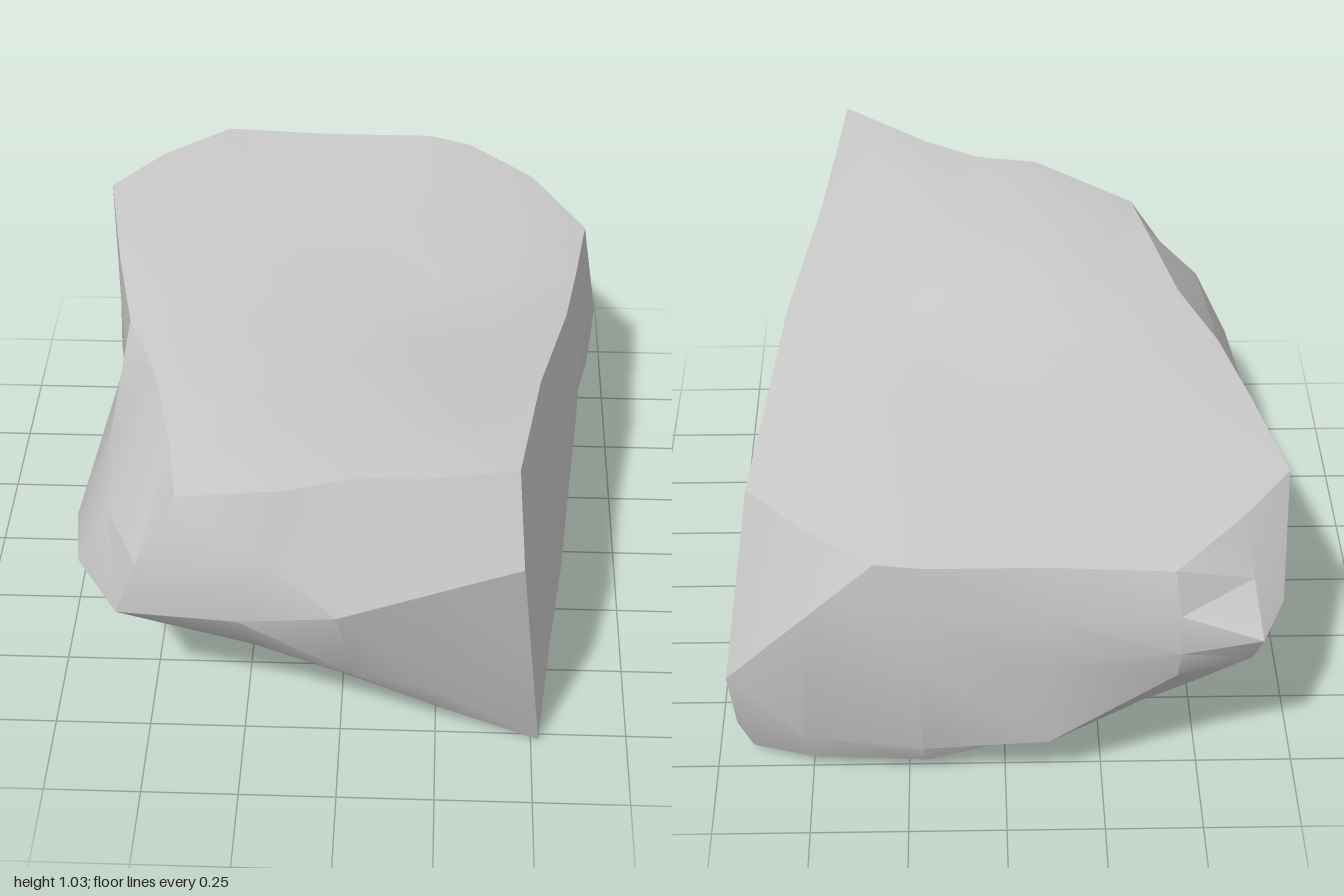
import * as THREE from 'three';
import { toCreasedNormals } from 'three/addons/utils/BufferGeometryUtils.js';

// Three rings of [x, y, z], each running front corner -> +x side -> back -> -x side -> front
const rim = [
  [0.43, 1.03, 0.95], [0.49, 0.96, 0.5], [0.57, 0.88, 0.09], [0.61, 0.81, -0.22], [0.65, 0.75, -0.55],
  [0.5, 0.79, -0.76], [0.32, 0.8, -0.92], [0.2, 0.81, -0.95], [-0.1, 0.81, -0.95], [-0.4, 0.81, -0.97],
  [-0.58, 0.83, -0.78], [-0.71, 0.83, -0.6], [-0.65, 0.81, -0.25], [-0.59, 0.8, 0.04], [-0.5, 0.81, 0.28],
  [-0.43, 0.82, 0.6], [-0.4, 0.8, 0.79], [-0.12, 0.89, 0.87], [0.05, 0.92, 0.85], [0.2, 0.95, 0.89],
];
const belly = [
  [0.45, 0.77, 1.0], [0.54, 0.5, 0.5], [0.6, 0.45, 0.09], [0.64, 0.45, -0.25], [0.67, 0.6, -0.63],
  [0.71, 0.32, -0.77], [0.5, 0.6, -0.88], [0.22, 0.5, -0.93], [-0.1, 0.5, -0.95], [-0.42, 0.57, -0.99],
  [-0.62, 0.6, -0.98], [-0.68, 0.62, -0.85], [-0.66, 0.52, -0.25], [-0.62, 0.55, -0.01], [-0.71, 0.42, 0.4],
  [-0.68, 0.45, 0.62], [-0.56, 0.45, 0.82], [-0.25, 0.48, 0.88], [0.0, 0.55, 0.94], [0.22, 0.65, 0.96],
];
const foot = [
  [0.52, 0, 0.77], [0.56, 0.01, 0.4], [0.6, 0.03, 0.09], [0.63, 0.01, -0.25], [0.66, 0.02, -0.55],
  [0.66, 0.02, -0.69], [0.5, 0.05, -0.77], [0.2, 0.07, -0.81], [-0.1, 0.13, -0.78], [-0.36, 0.17, -0.7],
  [-0.5, 0.2, -0.66], [-0.53, 0.21, -0.63], [-0.58, 0.26, -0.3], [-0.62, 0.3, -0.05], [-0.61, 0.31, 0.3],
  [-0.58, 0.35, 0.58], [-0.54, 0.4, 0.75], [-0.2, 0.29, 0.75], [0.05, 0.2, 0.77], [0.25, 0.11, 0.77],
];

// Per station: outward swell above the belly, then swell and depth of the crease below it
const shoulderSwell = [0, 0, 0, 0, 0, 0, 0, 0, 0.01, 0.015, 0, 0, 0, 0, 0.02, 0.05, 0.04, 0.01, 0, 0];
const creaseSwell = [0, 0, 0, 0, 0, 0.02, 0.03, 0.03, 0.08, 0.035, 0.025, 0, 0, 0, 0, 0, 0.01, 0.02, 0.03, 0.02];
const creaseDepth = [0.5, 0.5, 0.5, 0.5, 0.5, 0.6, 0.8, 0.8, 0.8, 0.25, 0.25, 0.25, 0.5, 0.5, 0.5, 0.5, 0.6, 0.75, 0.8, 0.8];

// Ring between two others, pushed out from the vertical axis
function swollenRing(upper, lower, swell, blend) {
  return upper.map((p, i) => {
    const v = new THREE.Vector3(...p).lerp(new THREE.Vector3(...lower[i]), blend(i));
    const out = new THREE.Vector3(v.x, 0, v.z).setLength(1);
    return v.addScaledVector(out, swell[i]).toArray();
  });
}

// Top surface: level at the back, rising towards the front +x corner
const topHeight = (x, z) => (z > 0 ? 0.825 + 0.115 * z + 0.24 * x * z : 0.825 + 0.02 * z);

const topRing = (s) => rim.map(([x, , z]) => [x * s, topHeight(x * s, z * s), z * s]);

// Underside rings shrink towards a point in the middle of the sloping base
const baseRing = (s) => foot.map(([x, y, z]) => [x * s, 0.14 + (y - 0.14) * s, z * s]);

function loft(rings) {
  const n = rings[0].length;
  const positions = [];
  const triangle = (a, b, c) => {
    const [p, q, r] = [a, b, c].map((v) => new THREE.Vector3(...v));
    const area = q.clone().sub(p).cross(r.clone().sub(p)).length();
    if (area > 1e-6) positions.push(...a, ...b, ...c);
  };
  for (let j = 0; j < rings.length - 1; j++) {
    for (let i = 0; i < n; i++) {
      const k = (i + 1) % n;
      triangle(rings[j][i], rings[j + 1][i], rings[j + 1][k]);
      triangle(rings[j][i], rings[j + 1][k], rings[j][k]);
    }
  }
  const geometry = new THREE.BufferGeometry();
  geometry.setAttribute('position', new THREE.Float32BufferAttribute(positions, 3));
  return toCreasedNormals(geometry, 0.45);
}

export function createModel() {
  const group = new THREE.Group();
  group.name = 'boulder';
  // Crown, sides and base in one closed skin
  const shoulder = swollenRing(rim, belly, shoulderSwell, () => 0.5);
  const lowerCrease = swollenRing(belly, foot, creaseSwell, (i) => creaseDepth[i]);
  const rings = [
    topRing(0), topRing(0.35), topRing(0.7), rim, shoulder,
    belly, lowerCrease, foot, baseRing(0.5), baseRing(0),
  ];
  const rock = new THREE.Mesh(loft(rings), new THREE.MeshStandardMaterial({ color: 0xcccccc }));
  rock.name = 'rock';
  group.add(rock);
  return group;
}
